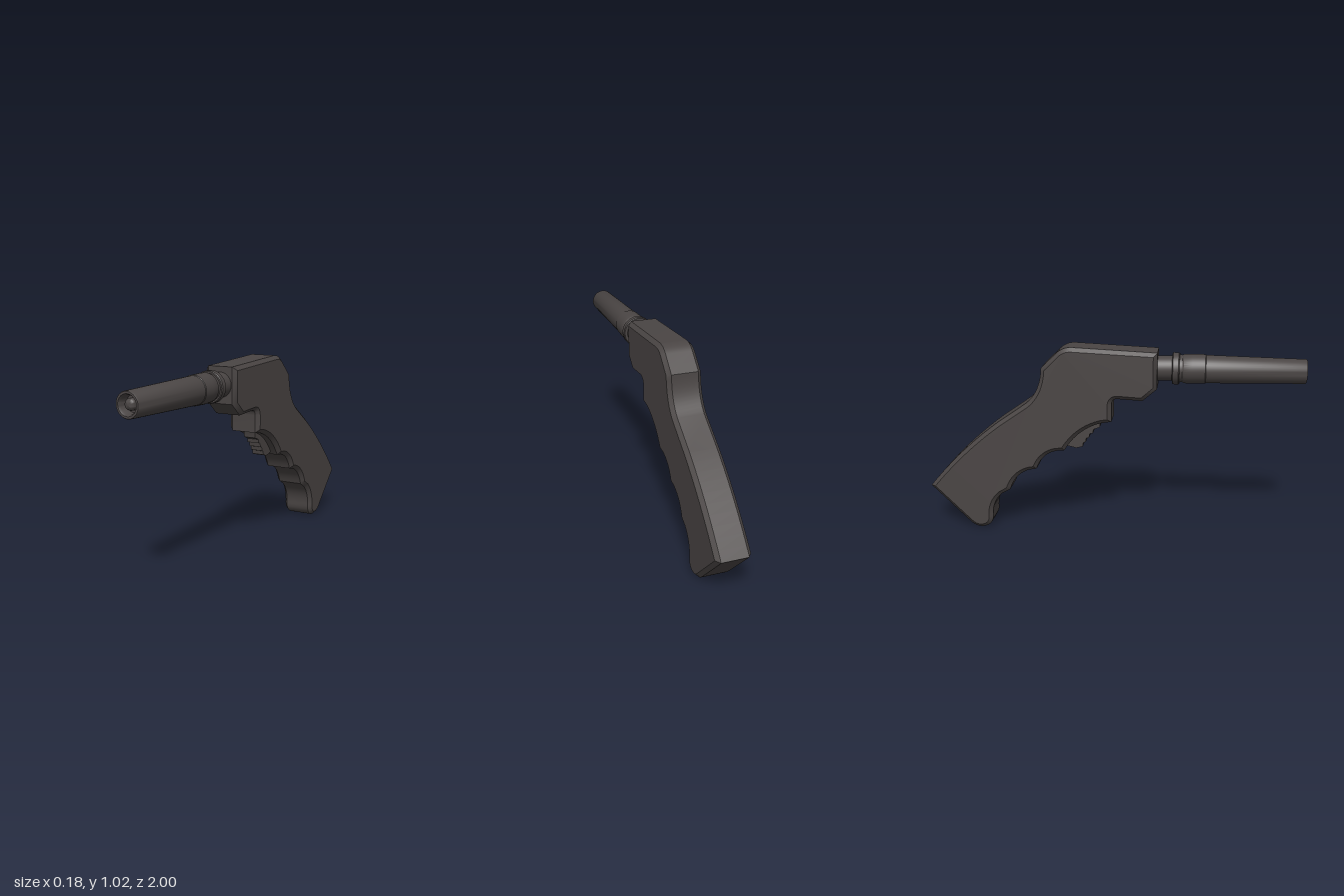
import * as THREE from 'three';
import { toCreasedNormals } from 'three/addons/utils/BufferGeometryUtils.js';

const plastic = new THREE.MeshStandardMaterial({ color: 0x4a4544 });
plastic.name = 'charcoal plastic';

function addMesh(group, name, geometry, crease = 0.6) {
  const mesh = new THREE.Mesh(toCreasedNormals(geometry, crease), plastic);
  mesh.name = name;
  group.add(mesh);
  return mesh;
}

// Extrudes a side profile drawn in (z, y) to a given width, centred on x = 0
function extrudeSide(shape, width, bevel) {
  const geometry = new THREE.ExtrudeGeometry(shape, {
    depth: width - 2 * bevel,
    bevelEnabled: bevel > 0,
    bevelThickness: bevel,
    bevelSize: bevel,
    bevelOffset: -bevel,
    bevelSegments: 1,
    curveSegments: 10,
  });
  geometry.translate(0, 0, bevel - width / 2);
  geometry.rotateY(-Math.PI / 2);
  return geometry;
}

// Turns an (r, z) profile around the barrel axis
function turned(profile) {
  const points = profile.map(([r, z]) => new THREE.Vector2(r, z));
  return new THREE.LatheGeometry(points, 40).rotateX(Math.PI / 2);
}

function bodyShape() {
  const s = new THREE.Shape();
  // Back of the grip and the housing top
  s.moveTo(-0.995, 0.237);
  s.quadraticCurveTo(-0.815, 0.455, -0.607, 0.61);
  s.lineTo(-0.45, 0.72);
  s.quadraticCurveTo(-0.372, 0.785, -0.366, 0.912);
  s.lineTo(-0.285, 0.992);
  s.quadraticCurveTo(-0.25, 1.026, -0.2, 1.024);
  s.lineTo(0.24, 1.005);
  // Nose and underside
  s.lineTo(0.24, 0.815);
  s.lineTo(0.165, 0.75);
  s.lineTo(0.035, 0.757);
  s.quadraticCurveTo(0.003, 0.757, 0.003, 0.72);
  s.lineTo(0.003, 0.632);
  s.lineTo(-0.05, 0.623);
  // Trigger recess
  s.quadraticCurveTo(-0.175, 0.59, -0.25, 0.465);
  // Finger grooves
  s.lineTo(-0.295, 0.46);
  s.quadraticCurveTo(-0.375, 0.44, -0.404, 0.355);
  s.lineTo(-0.445, 0.347);
  s.quadraticCurveTo(-0.525, 0.32, -0.553, 0.23);
  s.lineTo(-0.6, 0.203);
  s.quadraticCurveTo(-0.66, 0.15, -0.655, 0.065);
  // Rounded heel
  s.bezierCurveTo(-0.655, 0, -0.74, -0.02, -0.785, 0.03);
  s.closePath();
  return s;
}

function triggerShape() {
  const s = new THREE.Shape();
  s.moveTo(-0.05, 0.64);
  // Staircase of thumb ridges
  const teeth = [[-0.06, 0.61], [-0.097, 0.575], [-0.118, 0.55], [-0.136, 0.525], [-0.152, 0.5]];
  for (const [z, y] of teeth) {
    s.lineTo(z, y);
    s.lineTo(z - 0.003, y - 0.021);
  }
  s.lineTo(-0.165, 0.475);
  s.lineTo(-0.19, 0.468);
  s.lineTo(-0.24, 0.48);
  s.lineTo(-0.24, 0.56);
  s.closePath();
  return s;
}

export function createModel() {
  const model = new THREE.Group();
  model.name = 'triggerHandleWithNozzle';

  addMesh(model, 'gripBody', extrudeSide(bodyShape(), 0.18, 0.02));
  addMesh(model, 'trigger', extrudeSide(triggerShape(), 0.068, 0));

  // Neck, flange, collar and tapered tube with a hollow mouth
  const nozzle = new THREE.Group();
  nozzle.name = 'nozzle';
  nozzle.position.y = 0.912;
  addMesh(nozzle, 'neck', turned([[0.065, 0.2], [0.065, 0.325]]));
  addMesh(nozzle, 'flange', turned([
    [0.05, 0.315], [0.079, 0.315], [0.083, 0.32], [0.083, 0.348], [0.079, 0.353], [0.05, 0.353],
  ]));
  addMesh(nozzle, 'collar', turned([
    [0.071, 0.35], [0.071, 0.368], [0.076, 0.375], [0.077, 0.42], [0.076, 0.485], [0.07, 0.492],
  ]));
  addMesh(nozzle, 'tube', turned([
    [0.073, 0.485], [0.063, 0.995], [0.06, 1], [0.05, 1], [0.044, 0.99], [0.04, 0.95], [0, 0.95],
  ]));
  // Rounded plug inside the mouth
  addMesh(nozzle, 'mouthPlug', turned([
    [0.028, 0.945], [0.028, 0.975], [0.024, 0.985], [0.014, 0.992], [0, 0.995],
  ]), 0.9);
  model.add(nozzle);

  return model;
}
